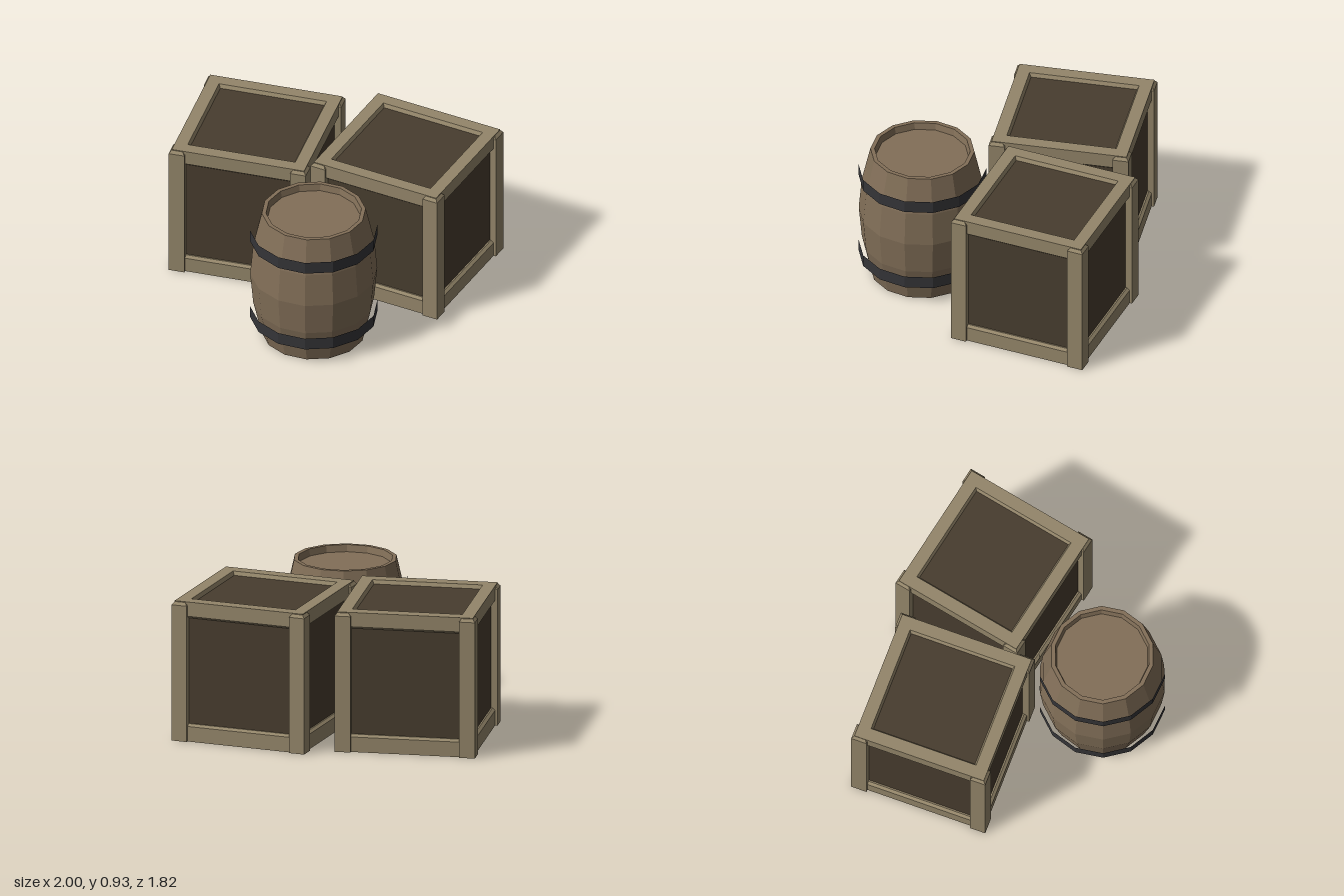
import * as THREE from 'three';

const mat = (color, extra = {}) =>
  new THREE.MeshStandardMaterial({ color, flatShading: true, ...extra });

const frameMat = mat(0x94866a);
const panelMat = mat(0x483d2f, { side: THREE.DoubleSide });
const staveMat = mat(0x826f58);
const hoopMat = mat(0x353538);

function addMesh(parent, name, geometry, material) {
  const mesh = new THREE.Mesh(geometry, material);
  mesh.name = name;
  parent.add(mesh);
  return mesh;
}

// Four-sided lathe: each profile point is [half width, height]
function squareLathe(profile) {
  const points = profile.map(([half, y]) => new THREE.Vector2(half * Math.SQRT2, y));
  return new THREE.LatheGeometry(points, 4, Math.PI / 4);
}

function createCrate(name, x, z, turn) {
  const crate = new THREE.Group();
  crate.name = name;

  // Recessed walls and lid, open underneath
  addMesh(crate, 'panels', squareLathe([[0.415, 0.04], [0.415, 0.905], [0, 0.905]]), panelMat);

  // Mitred rail frames with bevelled inner edges
  addMesh(crate, 'topRails', squareLathe([
    [0.345, 0.82], [0.425, 0.82], [0.443, 0.835], [0.443, 0.93],
    [0.36, 0.93], [0.345, 0.9], [0.345, 0.82],
  ]), frameMat);
  addMesh(crate, 'bottomRails', squareLathe([
    [0.345, 0.11], [0.345, 0.03], [0.36, 0], [0.443, 0],
    [0.443, 0.1], [0.425, 0.115], [0.345, 0.11],
  ]), frameMat);

  // Corner posts standing proud of the rails, chamfered on top
  const postGeometry = squareLathe([
    [0, 0], [0.0525, 0], [0.0525, 0.905], [0.036, 0.925], [0, 0.925],
  ]);
  for (const sx of [-1, 1]) {
    for (const sz of [-1, 1]) {
      const post = addMesh(crate, 'cornerPost', postGeometry, frameMat);
      post.position.set(sx * 0.4065, 0, sz * 0.4065);
    }
  }

  crate.position.set(x, 0, z);
  crate.rotation.y = turn;
  return crate;
}

function createBarrel(x, z) {
  const barrel = new THREE.Group();
  barrel.name = 'barrel';
  const sides = 14;

  // Bulging body with a raised rim and sunken lid
  const profile = [
    [0, 0], [0.335, 0], [0.367, 0.14], [0.39, 0.24], [0.41, 0.465],
    [0.39, 0.69], [0.367, 0.79], [0.335, 0.93],
    [0.308, 0.93], [0.298, 0.885], [0, 0.885],
  ].map(([r, y]) => new THREE.Vector2(r, y));
  addMesh(barrel, 'body', new THREE.LatheGeometry(profile, sides, Math.PI / 2), staveMat);

  // Loose metal hoops
  const hoopGeometry = new THREE.CylinderGeometry(0.411, 0.411, 0.083, sides, 1, true, Math.PI / 2);
  for (const y of [0.17, 0.76]) {
    addMesh(barrel, 'hoop', hoopGeometry, hoopMat).position.y = y;
  }

  barrel.position.set(x, 0, z);
  return barrel;
}

export function createModel() {
  const model = new THREE.Group();
  model.name = 'cratesAndBarrel';
  model.add(createCrate('rightCrate', -0.505, -0.3, 0.08));
  model.add(createCrate('leftCrate', 0.487, -0.4, -0.12));
  model.add(createBarrel(0.19, 0.505));
  return model;
}
